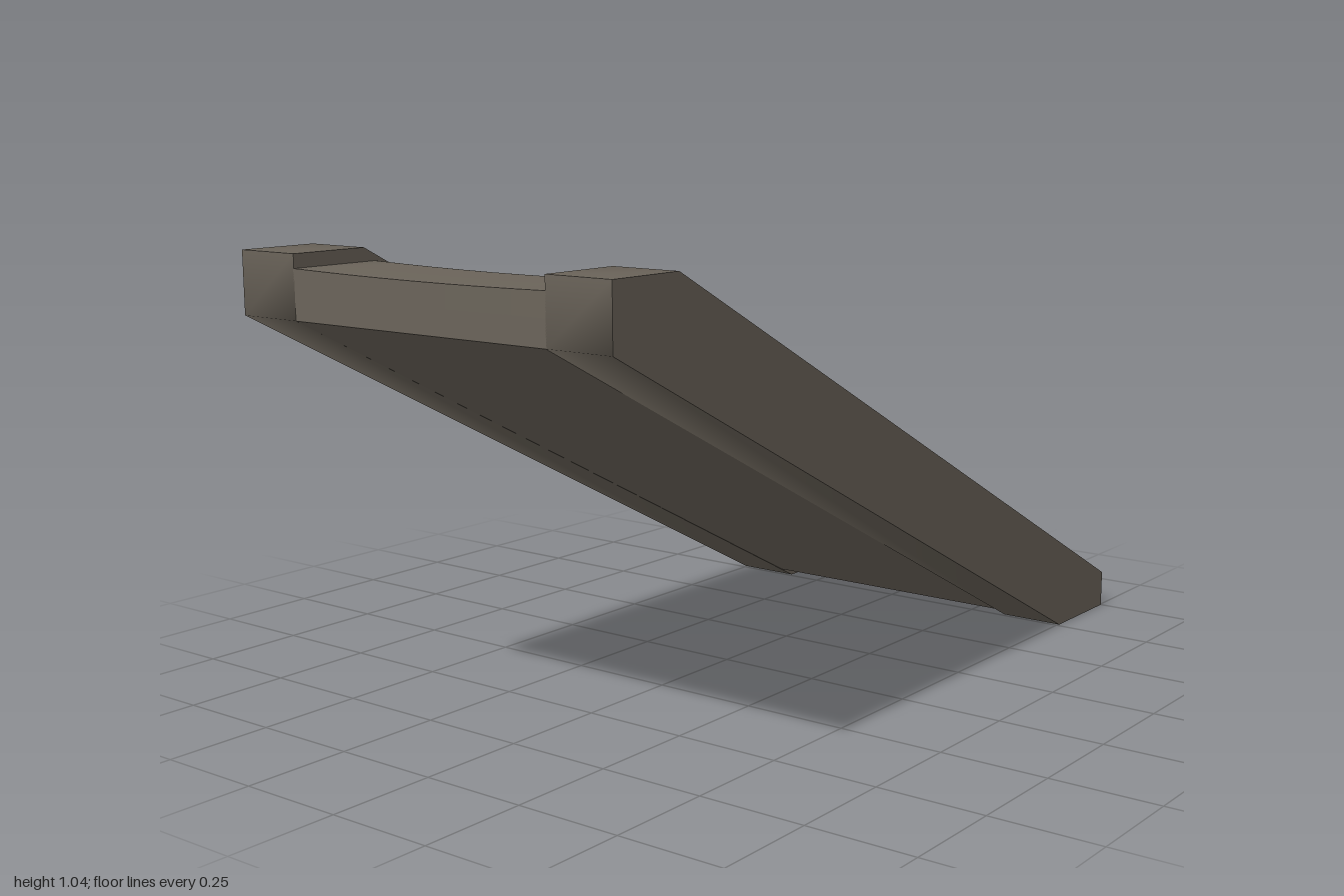
import * as THREE from 'three';
import { toCreasedNormals } from 'three/addons/utils/BufferGeometryUtils.js';

const THICK = 0.051, RECESS = 0.03, HALF = 0.345;
const TOPS = [1.007, 0.888, 0.762, 0.642, 0.515, 0.397, 0.27, 0.149];
const NOSES = [-0.768, -0.537, -0.313, -0.083, 0.154, 0.386, 0.624, 0.86];
const WEAR = [0.004, 0.003, 0, 0.003, 0, 0.003, 0.003, 0];

// Extrude a side profile across z, centred on zMid
function extrude(shape, width, zMid, steps = 1) {
  const geo = new THREE.ExtrudeGeometry(shape, { depth: width, steps, bevelEnabled: false, curveSegments: 5 });
  return geo.translate(0, 0, zMid - width / 2);
}

const polygon = (points) => new THREE.Shape(points.map(([x, y]) => new THREE.Vector2(x, y)));

// Tread slab with a rounded nose, slightly worn in the middle
function treadGeometry(i) {
  const back = i === 0 ? -1 : NOSES[i - 1] - RECESS - 0.01;
  const x = NOSES[i], y = TOPS[i], r = 0.02;
  const s = new THREE.Shape();
  s.moveTo(back, y - THICK);
  s.lineTo(x - r, y - THICK);
  s.quadraticCurveTo(x, y - THICK, x, y - THICK + r);
  s.lineTo(x, y - r * 0.6);
  s.quadraticCurveTo(x, y, x - r * 0.6, y);
  s.lineTo(back, y);
  const geo = extrude(s, HALF * 2, 0, 8);
  const p = geo.attributes.position;
  for (let k = 0; k < p.count; k++) {
    const bow = WEAR[i] * (1 - (p.getZ(k) / HALF) ** 2);
    const upper = p.getY(k) > y - THICK / 2;
    p.setY(k, p.getY(k) - bow * (upper ? 1 : 0.5));
    if (p.getX(k) > x - 0.05) p.setX(k, p.getX(k) - bow);
  }
  return toCreasedNormals(geo, 0.7);
}

export function createModel() {
  const group = new THREE.Group();
  const wood = new THREE.MeshStandardMaterial({ color: 0x6b645a });
  wood.name = 'weathered wood';
  const add = (geo, name) => {
    const mesh = new THREE.Mesh(geo, wood);
    mesh.name = name;
    group.add(mesh);
  };

  // Sloping side rails with softened cut ends
  const rail = polygon([[-1, 0.9], [0.76, 0], [1, 0], [1, 0.09], [-0.81, 1.037], [-1, 1.037]]);
  for (const [name, z] of [['frontRail', 0.423], ['backRail', -0.423]]) {
    add(toCreasedNormals(extrude(rail, 0.16, z), 1.2), name);
  }

  // Sawtooth body: risers over a sloping underside flush with the rails
  const last = NOSES.length - 1;
  const profile = [[-1, 0.9], [0.711, 0.026], [NOSES[last] - RECESS, 0.026]];
  for (let i = last; i >= 0; i--) {
    const riser = NOSES[i] - RECESS;
    if (i < last) profile.push([riser, TOPS[i + 1] - THICK]);
    profile.push([riser, TOPS[i] - THICK]);
  }
  profile.push([-1, TOPS[0] - THICK]);
  add(extrude(polygon(profile), HALF * 2, 0), 'risers');

  // Treads
  NOSES.forEach((_, i) => add(treadGeometry(i), `tread${i + 1}`));

  return group;
}
